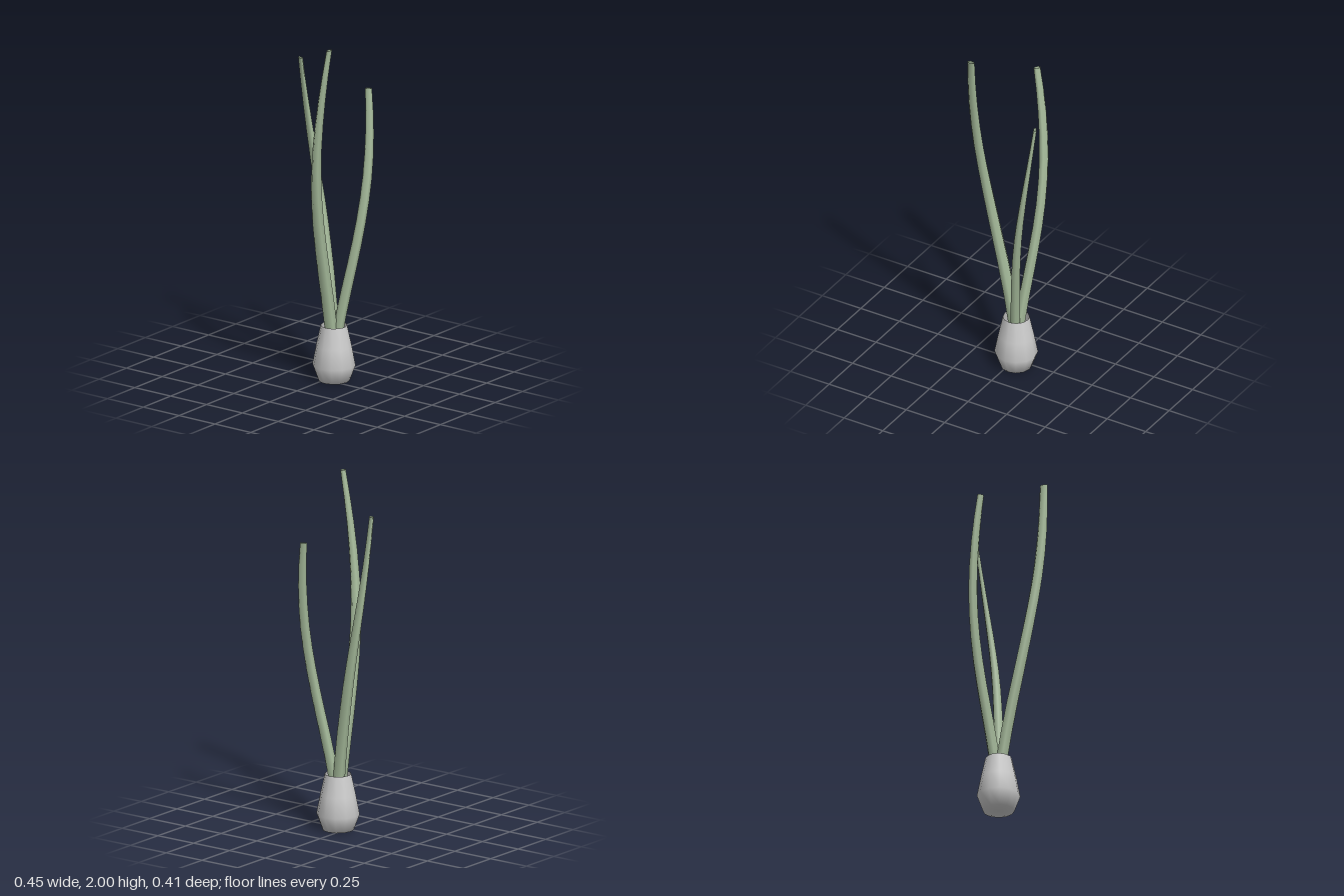
import * as THREE from 'three';

// Lofts an open six-sided tube along stations [x, y, z, half width x, half depth z]
function leafGeometry(stations, sides = 6, rows = 12) {
  const path = new THREE.CatmullRomCurve3(stations.map(s => new THREE.Vector3(s[0], s[1], s[2])));
  const sizes = new THREE.CatmullRomCurve3(stations.map(s => new THREE.Vector3(s[3], 0, s[4])));
  const pos = [], index = [];
  for (let i = 0; i <= rows; i++) {
    const c = path.getPoint(i / rows), r = sizes.getPoint(i / rows);
    for (let j = 0; j < sides; j++) {
      const a = (j / sides) * Math.PI * 2;
      pos.push(c.x + Math.cos(a) * r.x, c.y, c.z + Math.sin(a) * r.z);
      if (i < rows) {
        const p = i * sides + j, q = i * sides + (j + 1) % sides;
        index.push(p, p + sides, q, q, p + sides, q + sides);
      }
    }
  }
  const geo = new THREE.BufferGeometry();
  geo.setAttribute('position', new THREE.Float32BufferAttribute(pos, 3));
  geo.setIndex(index);
  geo.computeVertexNormals();
  return geo;
}

export function createModel() {
  const model = new THREE.Group();
  const plant = new THREE.Group();
  plant.name = 'plant';
  plant.position.set(0.033, 0, 0.041);
  model.add(plant);

  // Open twelve-sided vase
  const profile = [[0, 0], [0.088, 0], [0.121, 0.09], [0.1, 0.2], [0.074, 0.32]];
  const vase = new THREE.Mesh(
    new THREE.LatheGeometry(profile.map(p => new THREE.Vector2(...p)), 12),
    new THREE.MeshStandardMaterial({ color: 0xcccccc, side: THREE.DoubleSide }));
  vase.name = 'vase';
  plant.add(vase);

  // One curling leaf, repeated at three sizes around the vase
  const geo = leafGeometry([
    [0.0, 0.14, -0.003, 0.034, 0.036],
    [-0.023, 0.32, -0.004, 0.036, 0.036],
    [-0.077, 0.6, -0.004, 0.036, 0.035],
    [-0.12, 0.8, 0.0, 0.035, 0.033],
    [-0.16, 1.0, 0.008, 0.034, 0.031],
    [-0.193, 1.2, 0.024, 0.033, 0.027],
    [-0.216, 1.4, 0.047, 0.032, 0.023],
    [-0.226, 1.6, 0.074, 0.03, 0.019],
    [-0.225, 1.8, 0.102, 0.027, 0.015],
    [-0.214, 2.0, 0.13, 0.023, 0.012],
  ]);
  const green = new THREE.MeshStandardMaterial({ color: 0xa6bb9b, side: THREE.DoubleSide });
  [1, 0.918, 0.836].forEach((size, i) => {
    const leaf = new THREE.Mesh(geo, green);
    leaf.name = 'leaf' + (i + 1);
    leaf.scale.setScalar(size);
    leaf.rotation.y = -i * Math.PI * 2 / 3;
    plant.add(leaf);
  });
  return model;
}
